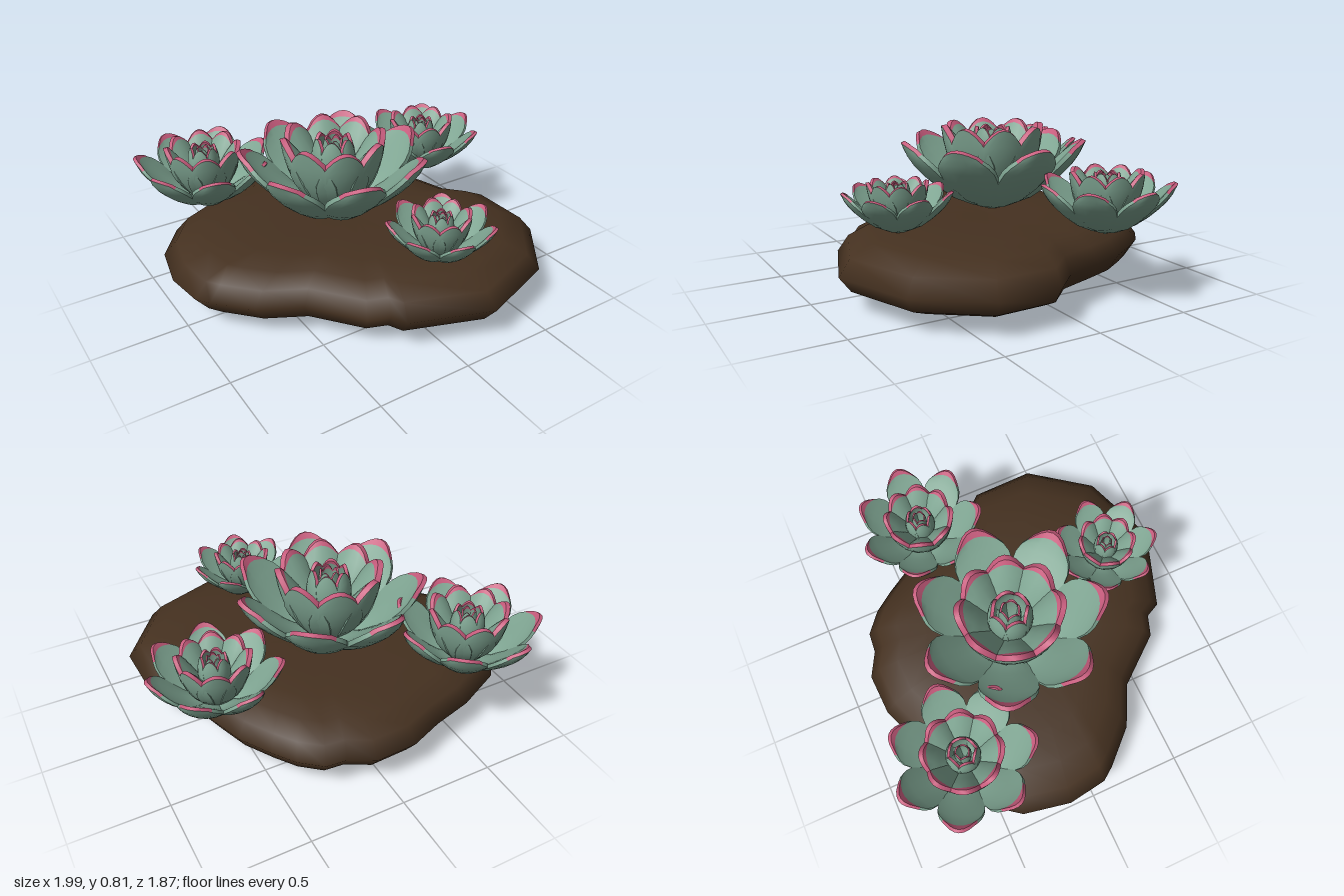
import * as THREE from 'three';
import { toCreasedNormals } from 'three/addons/utils/BufferGeometryUtils.js';

const soilMat = new THREE.MeshStandardMaterial({ color: 0x453120, name: 'soil brown' });
const leafMat = new THREE.MeshStandardMaterial({ color: 0x7fa592, name: 'leaf green' });
const tipMat = new THREE.MeshStandardMaterial({ color: 0xc65b7c, name: 'tip pink' });

// Irregular soil outline as [x, z]
const OUTLINE = [
  [0.07, -0.86], [0.2, -0.79], [0.31, -0.78], [0.42, -0.69], [0.5, -0.58], [0.6, -0.42],
  [0.66, -0.25], [0.73, -0.03], [0.87, 0.12], [0.88, 0.46], [0.64, 0.78], [0.22, 0.93],
  [-0.2, 0.78], [-0.24, 0.7], [-0.35, 0.66], [-0.55, 0.41], [-0.76, 0.3], [-0.92, 0.13],
  [-0.97, 0.06], [-1, -0.15], [-0.95, -0.4], [-0.8, -0.6], [-0.55, -0.72], [-0.33, -0.78], [-0.15, -0.85],
];

// Rings of the soil mound as [outline scale, height], top to bottom
const RINGS = [
  [0, 0.345], [0.4, 0.355], [0.62, 0.345], [0.8, 0.325], [0.93, 0.275], [1, 0.195],
  [0.93, 0.11], [0.8, 0.055], [0.6, 0.025], [0.4, 0.005], [0, 0.01],
];

function soilGeometry() {
  const pos = [], index = [], n = OUTLINE.length;
  for (const [s, y] of RINGS) for (const [x, z] of OUTLINE) pos.push(x * s, y, z * s);
  for (let i = 0; i < RINGS.length - 1; i++) {
    for (let j = 0; j < n; j++) {
      const a = i * n + j, b = i * n + ((j + 1) % n), c = a + n, d = b + n;
      if (i > 0) index.push(a, b, c);
      if (i < RINGS.length - 2) index.push(b, d, c);
    }
  }
  const g = new THREE.BufferGeometry();
  g.setAttribute('position', new THREE.Float32BufferAttribute(pos, 3));
  g.setIndex(index);
  g.computeVertexNormals();
  return g;
}

// Fleshy leaf along +x. Spine points are [radius, height, half width] of the outer face.
// The rim has thickness lip; the tip rim and a thin band of the inner face are pink.
function leafGeometry({ spine, thick, lip, cup, round, band }) {
  const curve = new THREE.CatmullRomCurve3(spine.map((p) => new THREE.Vector3(...p)));
  const rows = [0, 0.14, 0.28, 0.42, 0.56, 0.7, 0.82, 1 - band, 1];
  const cols = 6, w1 = cols + 1, sheet = rows.length * w1, last = rows.length - 2;
  const pos = [], green = [], pink = [];
  for (const inner of [1, 0]) {
    for (const t of rows) {
      const w = curve.getPoint(t).z;
      for (let j = 0; j <= cols; j++) {
        const u = (j / cols) * 2 - 1;
        const s = t * (1 - round * u * u);
        const p = curve.getPoint(s), d = curve.getTangent(s);
        const len = Math.hypot(d.x, d.y);
        const lift = cup * w * u * u + inner * (lip + thick * (1 - u * u) * (1 - t ** 3));
        pos.push(p.x - (d.y / len) * lift, p.y + (d.x / len) * lift, u * w);
      }
    }
  }
  for (let i = 0; i <= last; i++) {
    const ends = i === last ? pink : green;
    for (let j = 0; j < cols; j++) {
      const a = i * w1 + j, b = a + 1, c = a + w1, d = c + 1, o = sheet;
      ends.push(a, b, c, b, d, c);
      green.push(a + o, c + o, b + o, b + o, c + o, d + o);
    }
    // Side rims
    const l = i * w1, r = l + cols;
    ends.push(l, l + w1, l + sheet, l + w1, l + w1 + sheet, l + sheet);
    ends.push(r, r + sheet, r + w1, r + w1, r + sheet, r + w1 + sheet);
  }
  // Tip rim
  for (let j = 0; j < cols; j++) {
    const a = sheet - w1 + j, b = a + 1, c = a + sheet, d = b + sheet;
    pink.push(a, b, c, b, d, c);
  }
  const g = new THREE.BufferGeometry();
  g.setAttribute('position', new THREE.Float32BufferAttribute(pos, 3));
  g.setIndex([...green, ...pink]);
  g.addGroup(0, green.length, 0);
  g.addGroup(green.length, pink.length, 1);
  return toCreasedNormals(g, 0.8);
}

// Leaf whorls from the outside in
const LAYERS = [
  { name: 'outerLeaf', count: 7, phase: 0, thick: 0.055, lip: 0.024, cup: 0.33, round: 0.12, band: 0.08,
    spine: [[0.02, 0, 0.035], [0.2, 0.06, 0.1], [0.36, 0.18, 0.148], [0.455, 0.285, 0.148], [0.505, 0.385, 0.092]] },
  { name: 'middleLeaf', count: 8, phase: 0.4, thick: 0.11, lip: 0.03, cup: 0.25, round: 0.16, band: 0.05,
    spine: [[0.02, 0.04, 0.03], [0.13, 0.1, 0.08], [0.215, 0.22, 0.125], [0.26, 0.35, 0.135], [0.28, 0.465, 0.09]] },
  { name: 'innerLeaf', count: 6, phase: 0.1, thick: 0.01, lip: 0.018, cup: 0.3, round: 0.12, band: 0.06,
    spine: [[0.02, 0.08, 0.02], [0.08, 0.16, 0.05], [0.115, 0.28, 0.072], [0.112, 0.38, 0.066], [0.092, 0.455, 0.042]] },
  { name: 'heartLeaf', count: 5, phase: 0.5, thick: 0.006, lip: 0.01, cup: 0.3, round: 0.12, band: 0.08,
    spine: [[0.01, 0.14, 0.01], [0.04, 0.24, 0.03], [0.056, 0.33, 0.042], [0.055, 0.39, 0.038], [0.048, 0.445, 0.024]] },
];

export function createModel() {
  const model = new THREE.Group();
  model.name = 'succulentBed';

  const soil = new THREE.Mesh(soilGeometry(), soilMat);
  soil.name = 'soil';
  model.add(soil);

  const layers = LAYERS.map((l) => ({ ...l, geometry: leafGeometry(l) }));
  const coreGeometry = new THREE.SphereGeometry(0.05, 12, 8);

  // Rosettes as [name, x, z, scale]
  const rosettes = [
    ['largeRosette', -0.08, -0.08, 1],
    ['backRightRosette', -0.61, -0.57, 0.74],
    ['leftRosette', 0.65, -0.29, 0.67],
    ['frontRosette', 0.13, 0.58, 0.55],
  ];
  for (const [name, x, z, scale] of rosettes) {
    const rosette = new THREE.Group();
    rosette.name = name;
    for (const layer of layers) {
      for (let i = 0; i < layer.count; i++) {
        const leaf = new THREE.Mesh(layer.geometry, [leafMat, tipMat]);
        leaf.name = layer.name;
        leaf.rotation.y = -((i + layer.phase) / layer.count) * Math.PI * 2;
        rosette.add(leaf);
      }
    }
    // Short stem core joining the leaves to the soil
    const core = new THREE.Mesh(coreGeometry, leafMat);
    core.name = 'core';
    core.scale.y = 2.2;
    core.position.y = 0.1;
    rosette.add(core);
    rosette.position.set(x, 0.345, z);
    rosette.scale.setScalar(scale);
    model.add(rosette);
  }
  return model;
}
